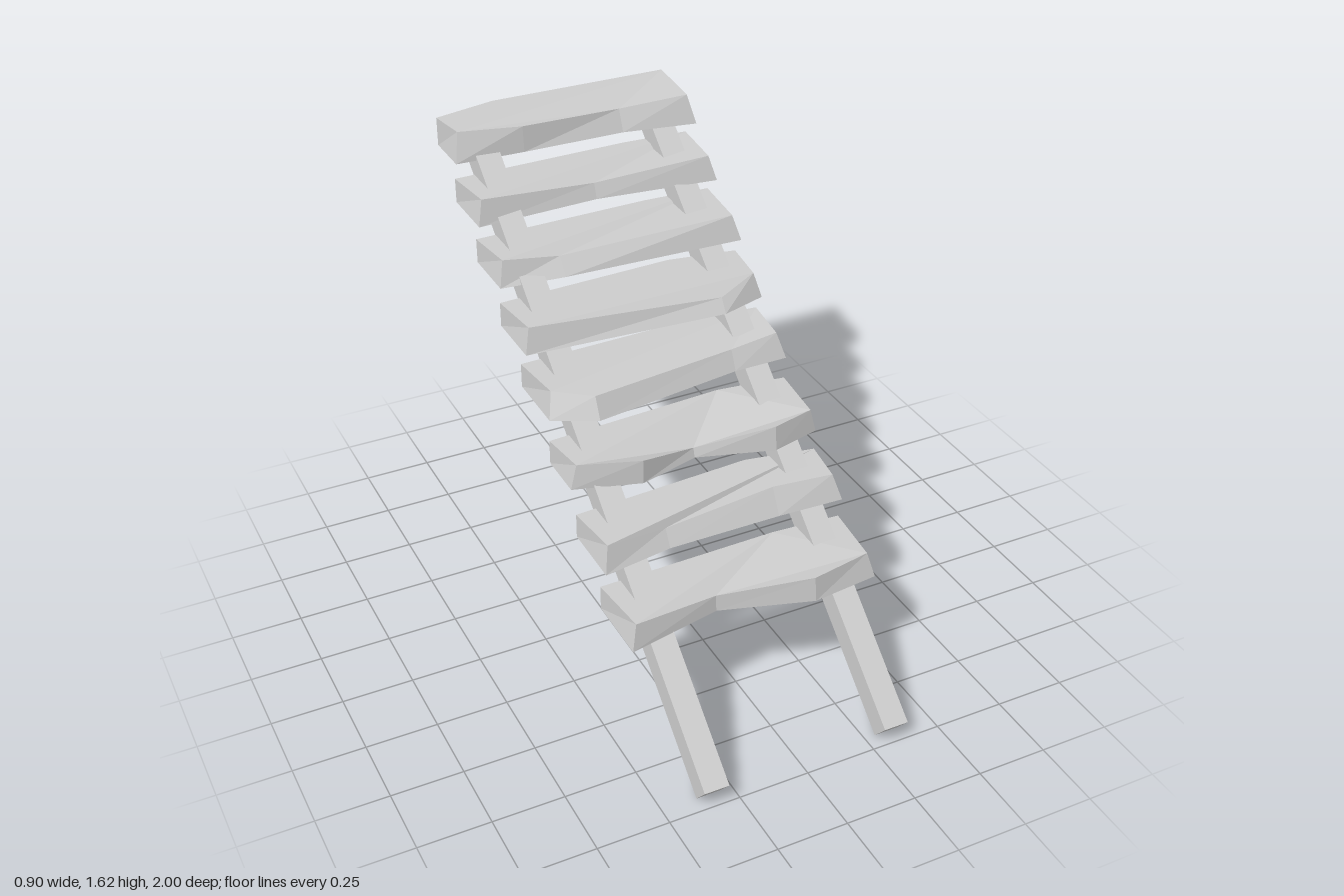
import * as THREE from 'three';

const material = new THREE.MeshStandardMaterial({ color: 0xcccccc, flatShading: true });
const HALF = 0.45;
const THICKNESS = 0.089;

// Each tread: base height, front z at the left and right end, backward lean of the front at its ends,
// inner front points as [x, z, lean, dip of the top edge], and back z at right end, inner point, left end.
const treads = [
  { y: 0.4, ends: [0.635, 0.637], lean: 0.023, inner: [[-0.115, 0.565, 0.005, 0.03], [0.205, 0.665, 0.01, 0]], back: [0.385, 0.37, 0.385] },
  { y: 0.57, ends: [0.435, 0.405], lean: 0.035, inner: [[-0.2, 0.395, 0.035, 0.03], [0.21, 0.395, 0.05, 0]], back: [0.205, 0.16, 0.2] },
  { y: 0.737, ends: [0.165, 0.21], lean: 0.003, inner: [[-0.22, 0.235, 0, 0], [0, 0.175, 0.01, 0.055], [0.27, 0.257, 0.01, 0]], back: [-0.02, -0.05, -0.01] },
  { y: 0.912, ends: [0, -0.01], lean: 0.035, inner: [[-0.3, 0.075, 0.035, 0.012], [0.25, -0.008, 0.034, 0.02]], back: [-0.235, -0.26, -0.24] },
  { y: 1.063, ends: [-0.185, -0.195], lean: 0.025, inner: [[0.28, -0.142, 0.033, 0.04]], back: [-0.4, -0.44, -0.41] },
  { y: 1.214, ends: [-0.395, -0.355], lean: 0.03, inner: [[-0.22, -0.375, 0.045, 0.028]], back: [-0.62, -0.63, -0.61] },
  { y: 1.366, ends: [-0.57, -0.547], lean: 0.025, inner: [[0, -0.595, 0.02, 0.035]], back: [-0.8, -0.81, -0.79] },
  { y: 1.52, thickness: 0.103, ends: [-0.765, -0.712], lean: 0.033, inner: [[-0.2, -0.757, 0.008, 0.01], [0.18, -0.757, 0.033, 0.025]], back: [-1, -1, -0.945], backX: -0.22 },
];

// A hewn slab: uneven outline, front leaning back, top front corners drawn in.
function createTread({ y, thickness = THICKNESS, ends, lean, inner, back, backX = 0.2 }) {
  const top = y + thickness;
  const lower = [], upper = [];
  const front = [[-HALF, ends[0], lean, 0], ...inner, [HALF, ends[1], lean, 0]];
  for (const [x, z, setback, dip] of front) {
    const xTop = Math.abs(x) === HALF ? x * 0.95 : x;
    lower.push([x, y, z]);
    upper.push([xTop, top - dip, z - setback]);
  }
  [HALF, backX, -HALF].forEach((x, i) => {
    lower.push([x, y, back[i]]);
    upper.push([x, top, back[i]]);
  });

  const n = lower.length;
  const index = [];
  const cap = (ring) => THREE.ShapeUtils.triangulateShape(ring.map(([x, , z]) => new THREE.Vector2(x, -z)), []);
  for (const [a, b, c] of cap(lower)) index.push(a, c, b);
  for (const [a, b, c] of cap(upper)) index.push(n + a, n + b, n + c);
  for (let i = 0; i < n; i++) {
    const j = (i + 1) % n;
    index.push(i, j, n + j, i, n + j, n + i);
  }
  const indexed = new THREE.BufferGeometry();
  indexed.setAttribute('position', new THREE.Float32BufferAttribute([...lower, ...upper].flat(), 3));
  indexed.setIndex(index);
  const geometry = indexed.toNonIndexed();
  geometry.computeVertexNormals();
  return new THREE.Mesh(geometry, material);
}

// A square beam running from the ground up into the top tread.
function createRail(x) {
  const start = new THREE.Vector3(x, 0.035, 0.972);
  const end = new THREE.Vector3(x, 1.553, -0.852);
  const rail = new THREE.Mesh(new THREE.BoxGeometry(0.088, 0.089, start.distanceTo(end)), material);
  rail.position.copy(start).add(end).multiplyScalar(0.5);
  rail.lookAt(end);
  return rail;
}

export function createModel() {
  const group = new THREE.Group();
  group.name = 'openStaircase';

  for (const side of [-1, 1]) {
    const rail = createRail(side * 0.333);
    rail.name = side > 0 ? 'leftRail' : 'rightRail';
    group.add(rail);
  }

  treads.forEach((tread, i) => {
    const mesh = createTread(tread);
    mesh.name = `tread${i + 1}`;
    group.add(mesh);
  });

  return group;
}
